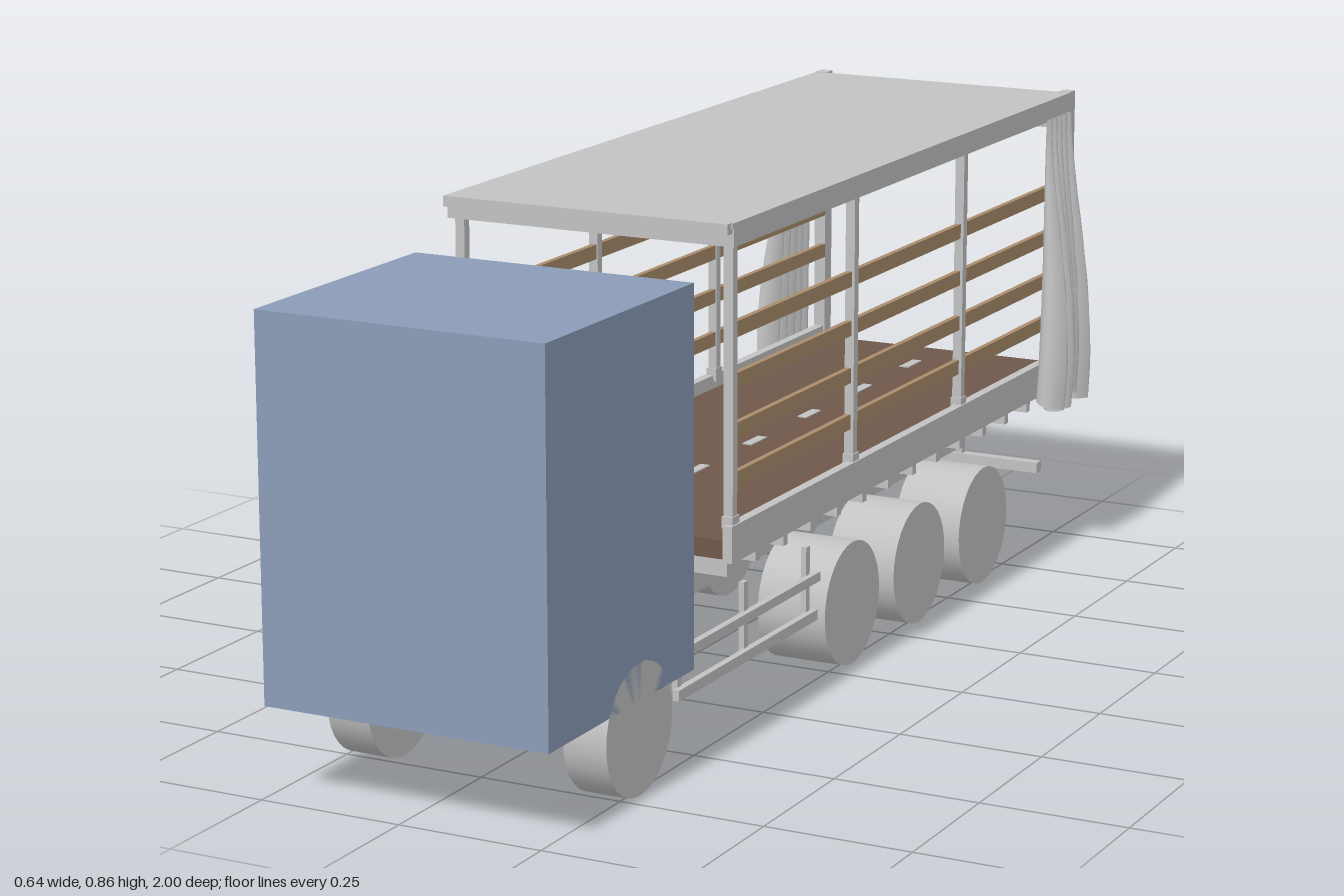
import * as THREE from 'three';

const mat = (name, color, side = THREE.FrontSide) => {
  const m = new THREE.MeshStandardMaterial({ color, side });
  m.name = name;
  return m;
};

export function createModel() {
  const grey = mat('light grey', 0xc2c2c2, THREE.DoubleSide);
  const blue = mat('cab blue', 0x8b9cb8);
  const wood = mat('slat wood', 0xa98c6b);
  const brown = mat('floor brown', 0x6f584b);
  const root = new THREE.Group();
  const truck = new THREE.Group();
  truck.name = 'truck';
  truck.position.x = 0.0125; // truck centreline, offset by the wider curtain
  root.add(truck);

  const add = (name, geo, m) => {
    const mesh = new THREE.Mesh(geo, m);
    mesh.name = name;
    truck.add(mesh);
    return mesh;
  };
  // box given by its lower and upper limits on each axis
  const box = (name, m, x0, x1, y0, y1, z0, z1) => {
    const mesh = add(name, new THREE.BoxGeometry(x1 - x0, y1 - y0, z1 - z0), m);
    mesh.position.set((x0 + x1) / 2, (y0 + y1) / 2, (z0 + z1) / 2);
    return mesh;
  };
  // the same box on both sides of the centreline
  const pair = (name, m, x0, x1, ...rest) => {
    box(name + 'Left', m, x0, x1, ...rest);
    box(name + 'Right', m, -x1, -x0, ...rest);
  };

  // cab
  box('cab', blue, -0.2525, 0.2525, 0.155, 0.785, 0.528, 1);

  // wheels: narrow in front, twin at the rear
  const wheel = (s, z, xOuter, width) => {
    const geo = new THREE.CylinderGeometry(0.109, 0.109, width, 32).rotateZ(Math.PI / 2);
    add('wheel', geo, grey).position.set(s * (xOuter - width / 2), 0.109, z);
  };
  for (const s of [-1, 1]) {
    wheel(s, 0.712, 0.2525, 0.076);
    for (const z of [-0.062, -0.34, -0.622]) {
      wheel(s, z, 0.2525, 0.0635);
      wheel(s, z, 0.189, 0.0635);
    }
  }

  // chassis beams, stepped at both ends
  const beam = new THREE.Shape([
    [0.57, 0.18], [0.57, 0.24], [0.41, 0.24], [0.41, 0.3],
    [-0.97, 0.3], [-0.97, 0.245], [-0.868, 0.245], [-0.868, 0.18],
  ].map(([z, y]) => new THREE.Vector2(-z, y)));
  const beamGeo = new THREE.ExtrudeGeometry(beam, { depth: 0.022, bevelEnabled: false }).rotateY(Math.PI / 2);
  for (const x of [-0.096, 0.074]) add('chassisBeam', beamGeo, grey).position.x = x;

  // cross members under the floor
  for (let i = 0; i < 14; i++) {
    const z = 0.38 - i * 0.103;
    box('crossMember', grey, -0.24, 0.24, 0.27, 0.305, z - 0.008, z + 0.008);
  }

  // floor with fixing plates, and its side rails
  box('floor', brown, -0.243, 0.243, 0.305, 0.337, -0.99, 0.408);
  for (let i = 0; i < 6; i++) {
    const z = 0.25 - i * 0.22;
    box('floorPlate', grey, -0.009, 0.009, 0.336, 0.339, z - 0.03, z + 0.03);
  }
  pair('sideRail', grey, 0.243, 0.26, 0.3, 0.362, -0.975, 0.41);

  // posts with small feet and heads
  for (const z of [0.39, -0.062, -0.515]) {
    pair('post', grey, 0.238, 0.255, 0.35, 0.825, z - 0.008, z + 0.008);
    pair('postFoot', grey, 0.237, 0.257, 0.355, 0.375, z - 0.012, z + 0.012);
  }
  pair('rearPost', grey, 0.24, 0.2625, 0.3, 0.86, -1, -0.972);

  // wooden side slats
  for (const y of [0.431, 0.512, 0.594, 0.679]) {
    pair('slat', wood, 0.24, 0.25, y - 0.013, y + 0.013, -0.972, 0.385);
  }

  // roof sheet, top rails, headers and roof bows
  box('roof', grey, -0.2625, 0.2625, 0.851, 0.859, -0.976, 0.415);
  pair('topRail', grey, 0.243, 0.2625, 0.82, 0.852, -0.976, 0.41);
  box('frontHeader', grey, -0.245, 0.245, 0.82, 0.852, 0.39, 0.41);
  box('frontVisor', grey, -0.26, 0.26, 0.842, 0.86, 0.41, 0.428);
  box('rearHeader', grey, -0.243, 0.243, 0.793, 0.852, -0.976, -0.96);
  for (let i = 0; i < 10; i++) {
    const z = 0.28 - i * 0.123;
    box('roofBow', grey, -0.244, 0.244, 0.838, 0.851, z - 0.005, z + 0.005);
  }
  for (const x of [-0.12, 0, 0.12]) {
    box('roofStringer', grey, x - 0.004, x + 0.004, 0.841, 0.851, -0.96, 0.39);
  }

  // side guards
  pair('guardUpperBar', grey, 0.238, 0.25, 0.18, 0.196, 0.06, 0.575);
  pair('guardLowerBar', grey, 0.238, 0.25, 0.114, 0.132, 0.07, 0.575);
  for (const [z, y] of [[0.555, 0.2], [0.32, 0.245], [0.088, 0.245]]) {
    pair('guardUpright', grey, 0.23, 0.24, 0.125, y, z - 0.007, z + 0.007);
  }

  // rear underrun bar
  box('underrunBar', grey, -0.25, 0.25, 0.146, 0.166, -0.9, -0.88);
  pair('underrunHanger', grey, 0.08, 0.095, 0.16, 0.25, -0.896, -0.882);

  // gathered curtains: a folded sheet that widens and swells downwards
  const curtain = (s) => {
    const geo = new THREE.PlaneGeometry(1, 1, 80, 24);
    const p = geo.attributes.position;
    for (let i = 0; i < p.count; i++) {
      const u = p.getX(i) + 0.5;
      const t = 0.5 - p.getY(i);
      const a = u * Math.PI * 10 + 0.5 * Math.sin(t * 4 + s);
      const swell = Math.sin(Math.min(1, t * 1.12) * Math.PI * 0.5) ** 1.6 - 0.5 * Math.max(0, t - 0.88);
      const fold = 0.5 + 0.5 * Math.sin(a);
      const reach = 0.82 + 0.18 * Math.cos(u * 7 + s);
      const x = 0.263 + 0.006 * fold + 0.055 * swell * reach * (0.15 + 0.85 * fold);
      const z = -0.905 + (u - 0.5) * (0.115 + 0.05 * t) - 0.01 * (1 - t)
        + 0.01 * swell * Math.cos(2 * a) + 0.012 * t;
      const y = 0.825 - t * (0.53 + 0.015 * Math.sin(u * 9 + s));
      p.setXYZ(i, s * x, y, z);
    }
    geo.computeVertexNormals();
    add(s > 0 ? 'curtainLeft' : 'curtainRight', geo, grey);
  };
  curtain(1);
  curtain(-1);

  return root;
}
